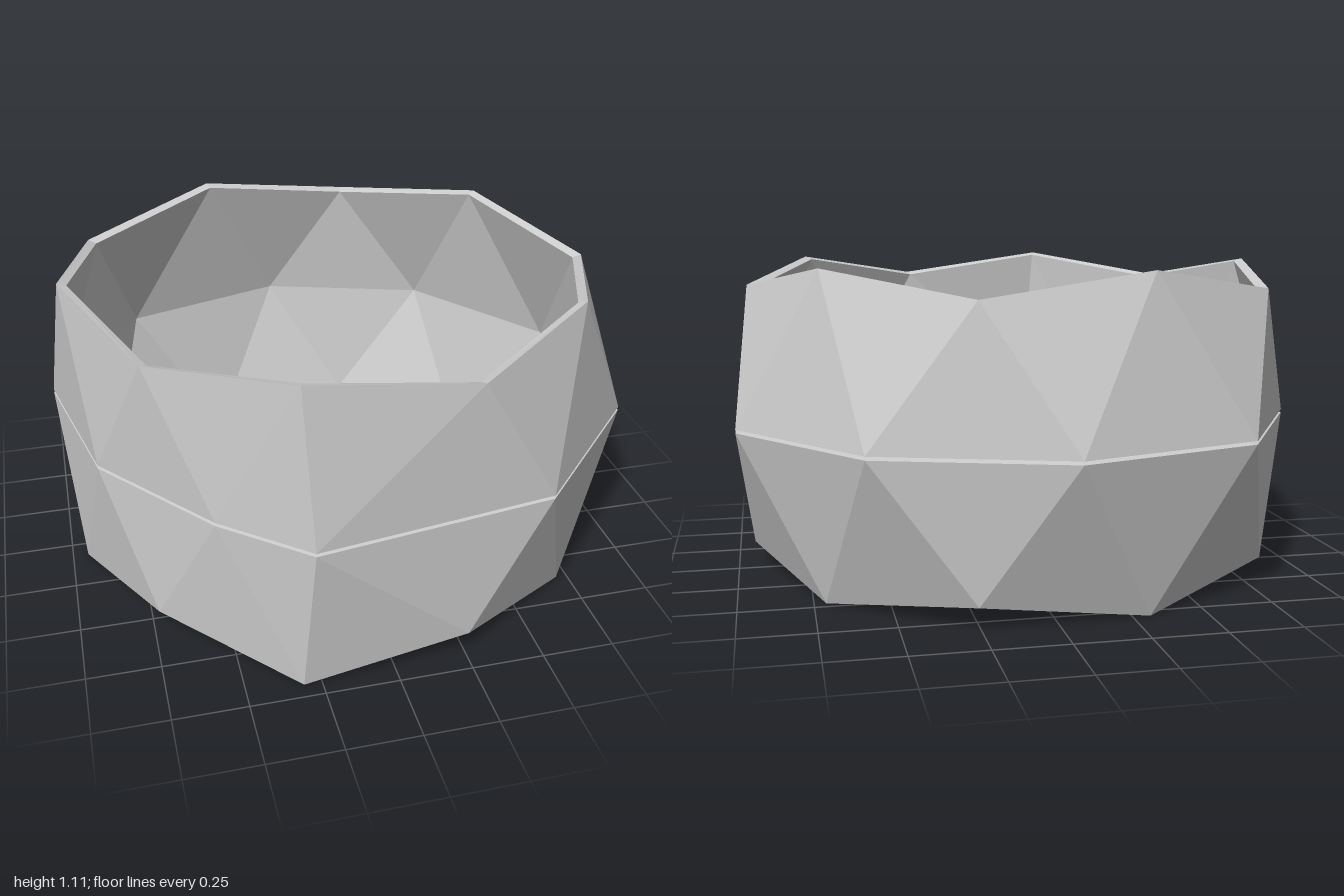
import * as THREE from 'three';

const MID = 0.555;      // height of the groove around the middle
const GROOVE = 0.006;   // half the groove opening
const SHRINK = 0.966;   // inner wall relative to the outer wall
const CENTRE_Z = 0.05;

// Corners [x, z], starting at the back and going round by the left side.
const BELT = [
  [-0.03, -1], [0.6, -0.8], [0.99, -0.26], [0.99, 0.4], [0.54, 0.88],
  [-0.28, 1], [-0.55, 0.77], [-0.88, 0.35], [-1, -0.22], [-0.66, -0.8],
];
const RIM = [
  [0.26, -0.85], [0.71, -0.465], [0.94, 0.07], [0.71, 0.615], [0.26, 0.92],
  [-0.31, 0.945], [-0.73, 0.565], [-0.945, 0.07], [-0.81, -0.5], [-0.31, -0.8],
];

const inward = ([x, z]) => [x * SHRINK, CENTRE_Z + (z - CENTRE_Z) * SHRINK];

// One half of the ring; dir = 1 rises from the groove, dir = -1 hangs below it.
function makeBand(dir, material) {
  const point = ([x, z], h) => [x, MID + dir * h, z];
  const rimHeight = (i) => (i % 2 ? 0.555 : 0.475);
  const beltOut = BELT.map((p) => point(p, GROOVE));
  const beltIn = BELT.map((p) => point(inward(p), 0));
  const rimOut = RIM.map((p, i) => point(p, rimHeight(i)));
  const rimIn = RIM.map((p, i) => point(inward(p), rimHeight(i) - 0.01));

  const pos = [];
  const tri = (a, b, c) => pos.push(...a, ...(dir > 0 ? b : c), ...(dir > 0 ? c : b));
  const quad = (a, b, c, d) => { tri(a, b, c); tri(a, c, d); };

  for (let i = 0; i < BELT.length; i++) {
    const j = (i + 1) % BELT.length;
    // outer wall
    tri(beltOut[i], rimOut[i], beltOut[j]);
    tri(rimOut[i], rimOut[j], beltOut[j]);
    // inner wall
    tri(beltIn[i], beltIn[j], rimIn[i]);
    tri(rimIn[i], beltIn[j], rimIn[j]);
    // rim edge and groove side
    quad(rimOut[i], rimIn[i], rimIn[j], rimOut[j]);
    quad(beltOut[i], beltOut[j], beltIn[j], beltIn[i]);
  }

  const geometry = new THREE.BufferGeometry();
  geometry.setAttribute('position', new THREE.Float32BufferAttribute(pos, 3));
  geometry.computeVertexNormals();
  return new THREE.Mesh(geometry, material);
}

export function createModel() {
  const group = new THREE.Group();
  group.name = 'facetedRing';
  const material = new THREE.MeshStandardMaterial({ color: 0xcccccc, flatShading: true });
  const upper = makeBand(1, material);
  upper.name = 'upperBand';
  const lower = makeBand(-1, material);
  lower.name = 'lowerBand';
  group.add(upper, lower);
  return group;
}
